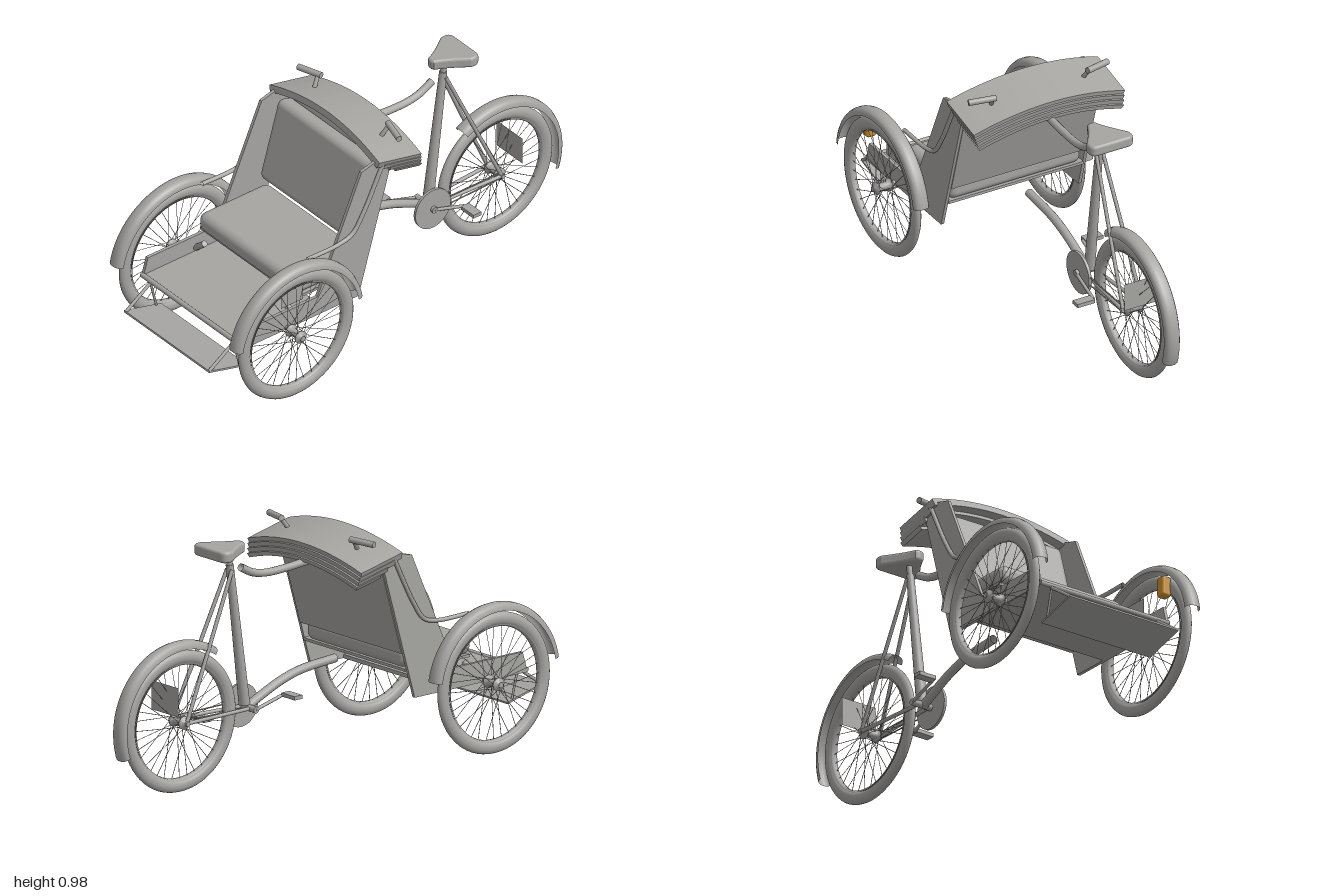
import * as THREE from 'three';
import { mergeGeometries } from 'three/addons/utils/BufferGeometryUtils.js';
import { RoundedBoxGeometry } from 'three/addons/geometries/RoundedBoxGeometry.js';

const grey = new THREE.MeshStandardMaterial({ name: 'grey', color: 0xa6a5a2, side: THREE.DoubleSide });
const amber = new THREE.MeshStandardMaterial({ name: 'amber', color: 0xc98f30 });
const V = (x, y, z) => new THREE.Vector3(x, y, z);
const UP = V(0, 1, 0);
const WHEEL_Y = 0.29, FRONT_Z = 0.645, REAR_Z = -0.675;

function part(parent, name, geometry, material = grey) {
  const m = new THREE.Mesh(geometry, material);
  m.name = name;
  parent.add(m);
  return m;
}

// Straight rod between two points
function rodGeo(a, b, r, sides = 12, r2 = r) {
  const d = b.clone().sub(a);
  const g = new THREE.CylinderGeometry(r2, r, d.length(), sides);
  g.applyQuaternion(new THREE.Quaternion().setFromUnitVectors(UP, d.normalize()));
  const c = a.clone().add(b).multiplyScalar(0.5);
  return g.translate(c.x, c.y, c.z);
}

const tubeGeo = (pts, r) =>
  new THREE.TubeGeometry(new THREE.CatmullRomCurve3(pts.map(p => V(...p))), 32, r, 12);

function box(parent, name, w, h, d, x, y, z, tilt = 0) {
  const m = part(parent, name, new THREE.BoxGeometry(w, h, d));
  m.position.set(x, y, z);
  m.rotation.x = tilt;
  return m;
}

// Wheel turning about x, with curved mudguard from angle a0 over a1 (0 = forward, 90 = up)
function wheel(name, x, z, a0, a1) {
  const g = new THREE.Group();
  g.name = name;
  g.position.set(x, WHEEL_Y, z);

  part(g, 'tyre', new THREE.TorusGeometry(0.263, 0.027, 14, 64).scale(1, 1, 0.68).rotateY(Math.PI / 2));
  const rim = [[0.242, -0.014], [0.234, -0.012], [0.232, 0], [0.234, 0.012], [0.242, 0.014]];
  part(g, 'rim', new THREE.LatheGeometry(rim.map(p => new THREE.Vector2(...p)), 64).rotateZ(Math.PI / 2));

  const hub = [[0, -0.045], [0.012, -0.045], [0.012, -0.036], [0.027, -0.034], [0.027, -0.026], [0.016, -0.02],
    [0.016, 0.02], [0.027, 0.026], [0.027, 0.034], [0.012, 0.036], [0.012, 0.045], [0, 0.045]];
  part(g, 'hub', new THREE.LatheGeometry(hub.map(p => new THREE.Vector2(...p)), 24).rotateZ(Math.PI / 2));

  // Crossed spokes from alternating hub flanges
  const spokes = [];
  for (let i = 0; i < 36; i++) {
    const a = i / 36 * Math.PI * 2, b = a + (Math.floor(i / 2) % 2 ? 0.6 : -0.6);
    const side = i % 2 ? 0.03 : -0.03;
    spokes.push(rodGeo(V(side, Math.sin(b) * 0.025, Math.cos(b) * 0.025),
      V(0, Math.sin(a) * 0.236, Math.cos(a) * 0.236), 0.0013, 4));
  }
  part(g, 'spokes', mergeGeometries(spokes));

  const guard = [[0.3, -0.033], [0.314, -0.032], [0.325, -0.025], [0.331, -0.01], [0.331, 0.01],
    [0.325, 0.025], [0.314, 0.032], [0.3, 0.033]];
  const rad = Math.PI / 180;
  part(g, 'mudguard', new THREE.LatheGeometry(guard.map(p => new THREE.Vector2(...p)), 40, a0 * rad, a1 * rad)
    .rotateZ(Math.PI / 2));
  return g;
}

function carriage() {
  const g = new THREE.Group();
  g.name = 'carriage';

  // Side panels, outlined in (z, y)
  const outline = [[0.87, 0.283], [0.845, 0.37], [0.49, 0.37], [0.265, 0.875], [0.17, 0.9], [0.105, 0.885], [0.28, 0.283]];
  const shape = new THREE.Shape(outline.map(([z, y]) => new THREE.Vector2(-z, y)));
  for (const s of [1, -1]) {
    part(g, 'sidePanel', new THREE.ExtrudeGeometry(shape, { depth: 0.014, bevelEnabled: false })
      .translate(0, 0, -0.007).rotateY(Math.PI / 2).translate(s * 0.316, 0, 0));
    part(g, 'armRail', tubeGeo([[s * 0.332, 0.875, 0.165], [s * 0.332, 0.68, 0.265], [s * 0.332, 0.605, 0.32],
      [s * 0.332, 0.585, 0.39], [s * 0.334, 0.585, 0.55]], 0.009));
    part(g, 'axleBrace', rodGeo(V(s * 0.312, 0.31, 0.6), V(s * 0.255, 0.36, 0.6), 0.013));
    part(g, 'stubAxle', rodGeo(V(s * 0.31, WHEEL_Y, FRONT_Z), V(s * 0.425, WHEEL_Y, FRONT_Z), 0.012));
    part(g, 'stepStrut', rodGeo(V(s * 0.263, 0.285, 0.87), V(s * 0.263, 0.2, 0.995), 0.007));
    part(g, 'stepBrace', rodGeo(V(s * 0.263, 0.285, 0.87), V(s * 0.263, 0.165, 0.84), 0.005));
  }
  box(g, 'floor', 0.64, 0.016, 0.42, 0, 0.29, 0.66);
  part(g, 'floorEdge', rodGeo(V(-0.32, 0.293, 0.867), V(0.32, 0.293, 0.867), 0.011));
  box(g, 'footStep', 0.54, 0.008, 0.195, 0, 0.177, 0.905, -0.25);

  part(g, 'seatCushion', new RoundedBoxGeometry(0.61, 0.086, 0.36, 5, 0.035)).position.set(0, 0.443, 0.42);
  box(g, 'seatBase', 0.62, 0.012, 0.34, 0, 0.4, 0.41);
  box(g, 'backPanel', 0.62, 0.42, 0.014, 0, 0.675, 0.17, -0.281);
  const back = part(g, 'backCushion', new RoundedBoxGeometry(0.6, 0.36, 0.08, 5, 0.03));
  back.position.set(0, 0.686, 0.208);
  back.rotation.x = -0.281;

  // Folded hood: stacked arched layers sloping down to the rear
  for (let i = 0; i < 4; i++) {
    const w = 0.348 - 0.004 * i, arch = x => 0.058 * (1 - (x / w) ** 2), pts = [];
    for (let k = 0; k <= 20; k++) { const x = -w + k / 10 * w; pts.push(new THREE.Vector2(x * 0.97, arch(x))); }
    for (let k = 20; k >= 0; k--) { const x = -w + k / 10 * w; pts.push(new THREE.Vector2(x, arch(x) + 0.028 - 0.004 * i)); }
    const len = 0.22 - 0.03 * i;
    const layer = part(g, 'hoodFold', new THREE.ExtrudeGeometry(new THREE.Shape(pts), { depth: len, bevelEnabled: false })
      .translate(0, 0, -len));
    layer.position.set(0, 0.875 - 0.022 * i, 0.2 - 0.034 * i);
    layer.rotation.x = -0.22;
  }

  // Push handles above the hood
  for (const s of [1, -1]) {
    part(g, 'grip', rodGeo(V(s * 0.21, 0.955, 0.04), V(s * 0.32, 0.95, 0.07), 0.013));
    part(g, 'gripStem', rodGeo(V(s * 0.225, 0.955, 0.045), V(s * 0.2, 0.87, 0.1), 0.009));
  }

  // Amber side lamp and small side plate
  part(g, 'sideLamp', new RoundedBoxGeometry(0.045, 0.086, 0.046, 4, 0.012), amber).position.set(0.348, 0.482, 0.8);
  part(g, 'sidePlate', new THREE.PlaneGeometry(0.112, 0.07).rotateY(Math.PI / 2)).position.set(0.335, 0.44, 0.63);
  return g;
}

function cycle() {
  const g = new THREE.Group();
  g.name = 'cycleFrame';
  const crank = V(0, 0.286, -0.323);

  part(g, 'upperTube', tubeGeo([[0, 0.845, 0.1], [0, 0.828, -0.05], [0, 0.822, -0.22], [0, 0.835, -0.29], [0, 0.868, -0.355]], 0.016));
  part(g, 'lowerTube', tubeGeo([[0, 0.405, 0.14], [0, 0.39, -0.04], [0, 0.365, -0.14], [0, 0.325, -0.24], [0, 0.286, -0.323]], 0.018));
  part(g, 'seatTube', rodGeo(V(0, 0.3, -0.335), V(0, 0.89, -0.412), 0.023, 16, 0.016));
  part(g, 'seatPost', rodGeo(V(0, 0.88, -0.411), V(0, 0.945, -0.42), 0.012));
  for (const s of [1, -1]) {
    part(g, 'seatStay', rodGeo(V(s * 0.015, 0.87, -0.412), V(s * 0.045, WHEEL_Y, REAR_Z), 0.008));
    part(g, 'chainStay', rodGeo(V(s * 0.025, 0.286, -0.33), V(s * 0.045, WHEEL_Y, REAR_Z), 0.008));
    // Cranks and pedals point opposite ways
    const end = V(s * 0.062, 0.286 - s * 0.042, -0.323 - s * 0.147);
    part(g, 'crankArm', rodGeo(V(s * 0.055, crank.y, crank.z), end, 0.007));
    box(g, 'pedal', 0.08, 0.016, 0.04, s * 0.105, end.y, end.z);
    // Chain runs
    part(g, 'chain', rodGeo(V(0.04, 0.286 + s * 0.018, -0.36), V(0.04, WHEEL_Y + s * 0.014, REAR_Z), 0.003, 6));
  }
  part(g, 'crankAxle', rodGeo(V(-0.06, crank.y, crank.z), V(0.06, crank.y, crank.z), 0.014));
  part(g, 'chainGuard', rodGeo(V(0.035, crank.y, crank.z), V(0.047, crank.y, crank.z), 0.09, 40));
  part(g, 'rearAxle', rodGeo(V(-0.055, WHEEL_Y, REAR_Z), V(0.055, WHEEL_Y, REAR_Z), 0.01));
  part(g, 'rearPlate', new THREE.PlaneGeometry(0.166, 0.12)).position.set(0, 0.397, -0.75);

  // Saddle: broad at the rear, narrow nose forward
  const s = new THREE.Shape();
  s.moveTo(-0.012, 0.357);
  s.quadraticCurveTo(0, 0.35, 0.012, 0.357);
  s.quadraticCurveTo(0.035, 0.41, 0.088, 0.48);
  s.quadraticCurveTo(0.095, 0.515, 0.07, 0.515);
  s.lineTo(-0.07, 0.515);
  s.quadraticCurveTo(-0.095, 0.515, -0.088, 0.48);
  s.quadraticCurveTo(-0.035, 0.41, -0.012, 0.357);
  part(g, 'saddle', new THREE.ExtrudeGeometry(s, {
    depth: 0.022, bevelThickness: 0.012, bevelSize: 0.01, bevelSegments: 4, curveSegments: 10,
  }).rotateX(-Math.PI / 2).translate(0, 0.942, 0));
  return g;
}

export function createModel() {
  const model = new THREE.Group();
  model.name = 'pedalRickshaw';
  model.add(
    carriage(),
    cycle(),
    wheel('leftFrontWheel', 0.378, FRONT_Z, 10, 160),
    wheel('rightFrontWheel', -0.378, FRONT_Z, 10, 160),
    wheel('rearWheel', 0, REAR_Z, 57, 142),
  );
  return model;
}
